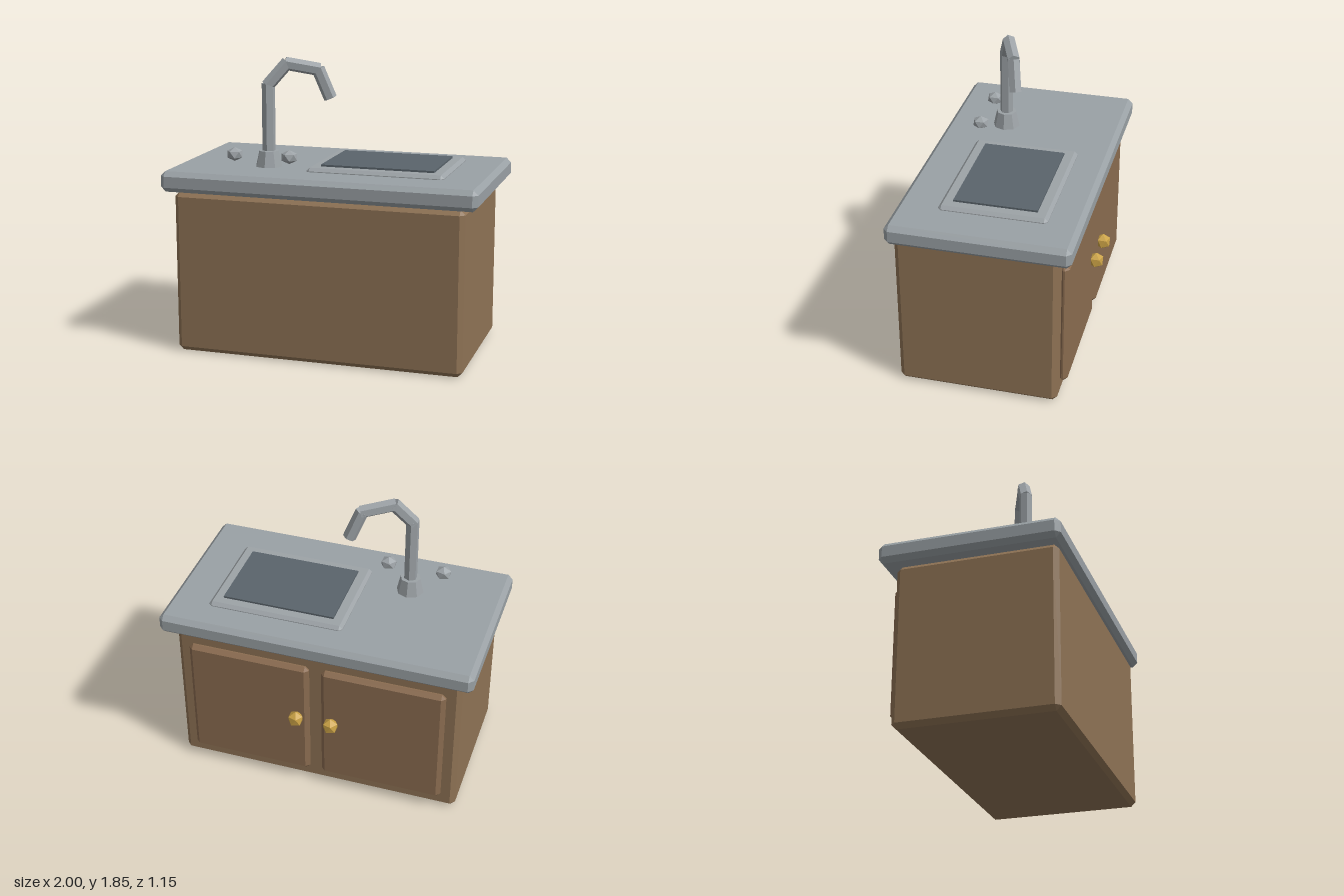
import * as THREE from 'three';
import { ConvexGeometry } from 'three/addons/geometries/ConvexGeometry.js';

const material = (name, color, flatShading = true) => {
  const m = new THREE.MeshStandardMaterial({ color, flatShading });
  m.name = name;
  return m;
};

// Box with chamfered edges, given by its min and max corners
function chamferBox([x0, y0, z0], [x1, y1, z1], c) {
  const h = [(x1 - x0) / 2, (y1 - y0) / 2, (z1 - z0) / 2];
  const points = [];
  for (const sx of [-1, 1]) for (const sy of [-1, 1]) for (const sz of [-1, 1]) {
    for (let axis = 0; axis < 3; axis++) {
      const p = h.map((v, i) => (i === axis ? v : v - c));
      points.push(new THREE.Vector3(p[0] * sx, p[1] * sy, p[2] * sz));
    }
  }
  return new ConvexGeometry(points).translate((x0 + x1) / 2, (y0 + y1) / 2, (z0 + z1) / 2);
}

// Icosahedron standing on a vertex
function knobGeometry(rx, ry, rz) {
  const points = [new THREE.Vector3(0, 1, 0), new THREE.Vector3(0, -1, 0)];
  for (let i = 0; i < 10; i++) {
    const a = (i * Math.PI) / 5;
    const y = (i % 2 ? 1 : -1) / Math.sqrt(5);
    points.push(new THREE.Vector3((2 / Math.sqrt(5)) * Math.cos(a), y, (2 / Math.sqrt(5)) * Math.sin(a)));
  }
  return new ConvexGeometry(points).scale(rx, ry, rz);
}

export function createModel() {
  const group = new THREE.Group();
  group.name = 'kitchenSink';
  const wood = material('cabinetWood', 0x8f7355);
  const doorWood = material('doorWood', 0x8b6c50);
  const stone = material('counterStone', 0x9aa1a5);
  const metal = material('metal', 0x9da3a7);
  const dark = material('basinDark', 0x5a646b);
  const brass = material('brass', 0xc9a145);

  const add = (name, geometry, mat, x = 0, y = 0, z = 0) => {
    const mesh = new THREE.Mesh(geometry, mat);
    mesh.name = name;
    mesh.position.set(x, y, z);
    group.add(mesh);
    return mesh;
  };

  // Cabinet and counter
  add('cabinet', chamferBox([-0.92, 0, -0.46], [0.92, 1.03, 0.54], 0.03), wood);
  add('counter', chamferBox([-1, 1.03, -0.55], [1, 1.16, 0.573], 0.03), stone);

  // Sink rim and basin
  add('sinkRim', chamferBox([-0.13, 1.125, -0.35], [0.74, 1.185, 0.317], 0.02), metal);
  add('basin', new THREE.BoxGeometry(0.72, 0.03, 0.515), dark, 0.305, 1.182, -0.018);

  // Doors and their knobs on the back
  for (const s of [-1, 1]) {
    const side = s > 0 ? 'left' : 'right';
    const xs = [0.04 * s, 0.83 * s].sort((a, b) => a - b);
    add(side + 'Door', chamferBox([xs[0], 0.095, -0.505], [xs[1], 0.935, -0.445], 0.025), doorWood);
    add(side + 'DoorKnob', knobGeometry(0.052, 0.054, 0.053), brass, 0.115 * s, 0.542, -0.53);
  }

  // Tap handles
  add('rightTapHandle', knobGeometry(0.055, 0.044, 0.055), metal, -0.595, 1.248, 0.318);
  add('leftTapHandle', knobGeometry(0.055, 0.044, 0.055), metal, -0.235, 1.248, 0.318);

  // Faucet base and bent spout of straight six-sided pipes
  add('faucetBase', new THREE.CylinderGeometry(0.064, 0.087, 0.1, 8), metal, -0.413, 1.21, 0.192);
  const path = [
    [-0.413, 1.2, 0.192], [-0.413, 1.675, 0.192], [-0.307, 1.805, 0.146],
    [-0.125, 1.767, 0.07], [-0.057, 1.59, 0.042],
  ].map((p) => new THREE.Vector3(...p));
  const up = new THREE.Vector3(0, 1, 0);
  for (let i = 0; i + 1 < path.length; i++) {
    const dir = path[i + 1].clone().sub(path[i]);
    const mid = path[i].clone().addScaledVector(dir, 0.5);
    const overlap = i + 2 < path.length ? 0.02 : 0.01;
    const pipe = add('faucetPipe' + (i + 1), new THREE.CylinderGeometry(0.042, 0.042, dir.length() + overlap, 6), metal, mid.x, mid.y, mid.z);
    pipe.quaternion.setFromUnitVectors(up, dir.normalize());
  }
  return group;
}
